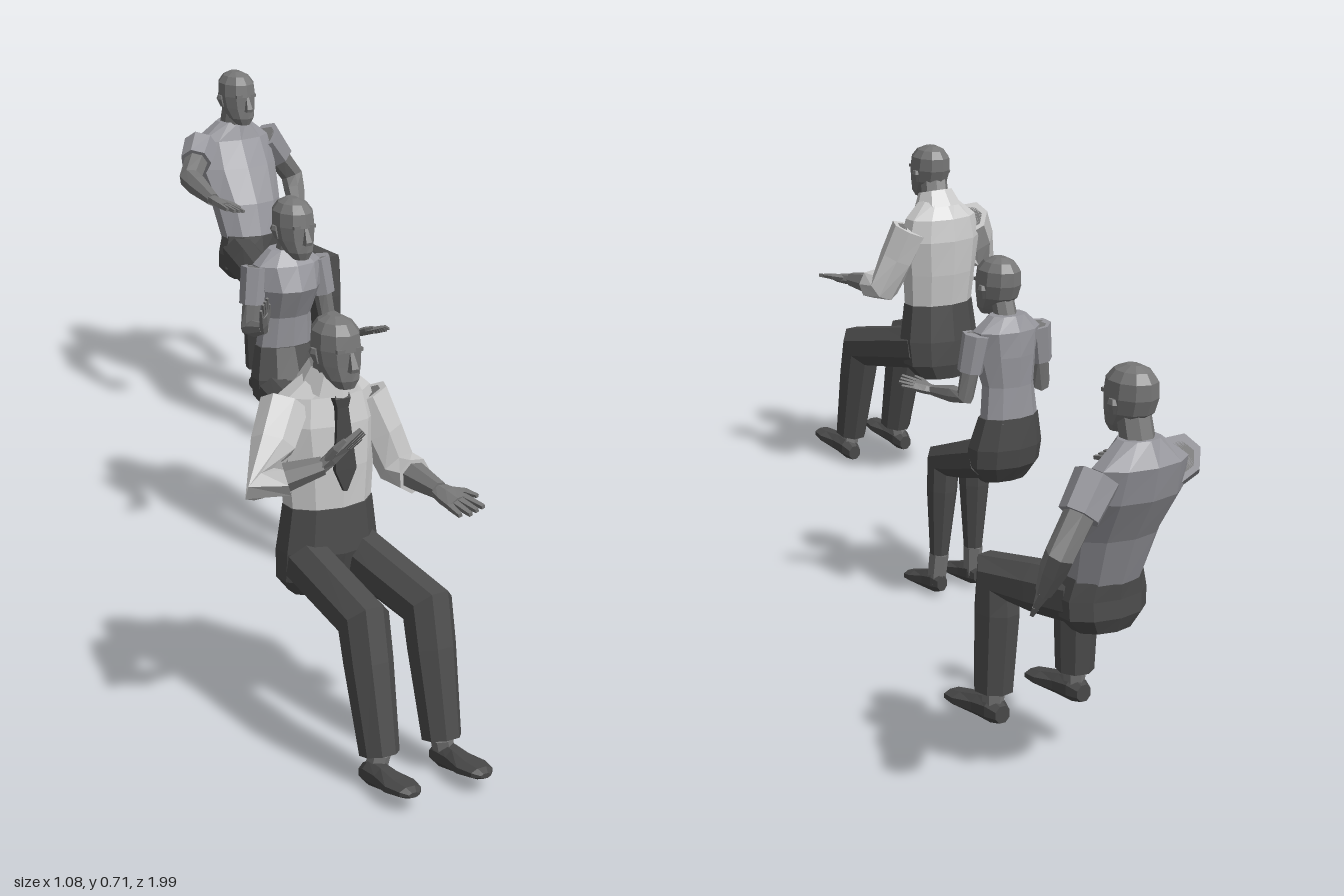
import * as THREE from 'three';

const V = (a) => new THREE.Vector3(...a);
const mat = (color) => new THREE.MeshStandardMaterial({ color, flatShading: true, side: THREE.DoubleSide });
const SKIN = mat(0x777777), TROUSERS = mat(0x4c4c4c), SHOE = mat(0x484848), TIE = mat(0x454545);

function add(group, name, geometry, material) {
  const mesh = new THREE.Mesh(geometry, material);
  mesh.name = name;
  group.add(mesh);
  return mesh;
}

// Closed skin over elliptical rings [x, y, z, halfWidth, halfDepth].
// Rings follow the path, or stay square to a fixed axis when one is given.
function loft(rings, sides = 8, axis = null, ref = [1, 0, 0]) {
  const c = rings.map((r) => V(r.slice(0, 3))), n = rings.length;
  const pos = [], index = [];
  let side = V(ref);
  rings.forEach((r, i) => {
    const a = c[Math.max(i - 1, 0)], b = c[Math.min(i + 1, n - 1)];
    let t = b.clone().sub(a).normalize();
    if (i > 0 && i < n - 1) {
      t = c[i].clone().sub(a).normalize().add(b.clone().sub(c[i]).normalize()).normalize();
    }
    if (axis) t = V(axis);
    side = side.clone().addScaledVector(t, -side.dot(t)).normalize();
    const up = t.clone().cross(side);
    for (let j = 0; j < sides; j++) {
      const ang = ((j + 0.5) / sides) * Math.PI * 2, k = 1 / Math.cos(Math.PI / sides);
      const p = c[i].clone().addScaledVector(side, Math.cos(ang) * r[3] * k)
        .addScaledVector(up, Math.sin(ang) * r[4] * k);
      pos.push(p.x, p.y, p.z);
    }
  });
  for (let i = 0; i < n - 1; i++) {
    for (let j = 0; j < sides; j++) {
      const a = i * sides + j, b = i * sides + ((j + 1) % sides);
      index.push(a, b, b + sides, a, b + sides, a + sides);
    }
  }
  const last = (n - 1) * sides;
  for (let j = 1; j < sides - 1; j++) index.push(0, j + 1, j, last, last + j, last + j + 1);
  const g = new THREE.BufferGeometry();
  g.setAttribute('position', new THREE.Float32BufferAttribute(pos, 3));
  g.setIndex(index);
  g.computeVertexNormals();
  return g;
}

const UP = [0, 1, 0];
const mix = (a, b, t) => a.map((v, i) => v + (b[i] - v) * t);

// Head with nose and ears; chin at y = 0
function makeHead(at) {
  const head = new THREE.Group();
  head.name = 'head';
  add(head, 'skull', loft([
    [0, 0, 0.028, 0.014, 0.014], [0, 0.014, 0.02, 0.025, 0.027], [0, 0.036, 0.004, 0.033, 0.042],
    [0, 0.06, -0.001, 0.036, 0.046], [0, 0.085, -0.003, 0.034, 0.044],
    [0, 0.1, -0.004, 0.024, 0.032], [0, 0.108, -0.006, 0.009, 0.014],
  ], 10, UP), SKIN);
  add(head, 'nose', loft([
    [0, 0.03, 0.048, 0.007, 0.008], [0, 0.036, 0.05, 0.006, 0.008], [0, 0.06, 0.043, 0.003, 0.004],
  ], 4, UP), SKIN);
  add(head, 'brow', new THREE.BoxGeometry(0.046, 0.006, 0.012), SKIN).position.set(0, 0.062, 0.037);
  for (const s of [-1, 1]) {
    add(head, 'ear', loft([
      [s * 0.034, 0.036, -0.002, 0.003, 0.005], [s * 0.039, 0.052, -0.005, 0.004, 0.009],
      [s * 0.038, 0.06, -0.004, 0.003, 0.006],
    ], 5, UP), SKIN);
  }
  head.position.set(...at);
  return head;
}

// Palm, four fingers and thumb; across points from the little finger to the thumb
function makeHand(wrist, tip, across, size) {
  const hand = new THREE.Group();
  hand.name = 'hand';
  const w = V(wrist), dir = V(tip).sub(w), len = dir.length();
  dir.normalize();
  const side = V(across).addScaledVector(dir, -V(across).dot(dir)).normalize();
  const at = (f, s) => w.clone().addScaledVector(dir, len * f).addScaledVector(side, s * size).toArray();
  add(hand, 'palm', loft([
    [...at(-0.1, 0), 0.011 * size, 0.009 * size], [...at(0.2, 0), 0.016 * size, 0.009 * size],
    [...at(0.55, 0), 0.018 * size, 0.007 * size],
  ], 6, null, side.toArray()), SKIN);
  for (let i = 0; i < 4; i++) {
    const s = (i - 1.5) * 0.009;
    add(hand, 'finger', loft([
      [...at(0.5, s), 0.0045 * size, 0.005 * size],
      [...at(i === 0 ? 0.88 : 1, s * 1.3), 0.003 * size, 0.003 * size],
    ], 4, null, side.toArray()), SKIN);
  }
  add(hand, 'thumb', loft([
    [...at(0.15, 0.01), 0.006 * size, 0.006 * size], [...at(0.4, 0.024), 0.005 * size, 0.005 * size],
    [...at(0.65, 0.029), 0.003 * size, 0.003 * size],
  ], 5, null, dir.toArray()), SKIN);
  return hand;
}

// Bare arm, sleeve reaching sleeveEnd (1 = elbow, 2 = wrist), and hand
function makeArm({ shoulder, elbow, wrist, tip, across }, r, sleeveEnd, shirt) {
  const arm = new THREE.Group();
  arm.name = 'arm';
  const ref = [0.3, 0.2, 1];
  add(arm, 'bareArm', loft([
    [...shoulder, r * 0.8, r * 0.8], [...mix(shoulder, elbow, 0.5), r * 0.75, r * 0.75],
    [...elbow, r * 0.7, r * 0.75], [...mix(elbow, wrist, 0.35), r * 0.68, r * 0.68],
    [...wrist, r * 0.42, r * 0.42],
  ], 7, null, ref), SKIN);
  const sleeve = [[...shoulder, r * 1.1, r * 1.15]];
  if (sleeveEnd > 1) {
    sleeve.push([...mix(shoulder, elbow, 0.5), r * 1.02, r * 1.02], [...elbow, r * 0.9, r]);
    sleeve.push([...mix(elbow, wrist, sleeveEnd - 1), r * 0.85, r * 0.85]);
  } else {
    sleeve.push([...mix(shoulder, elbow, sleeveEnd), r, r]);
  }
  add(arm, 'sleeve', loft(sleeve, 7, null, ref), shirt);
  arm.add(makeHand(wrist, tip, across, r / 0.03));
  return arm;
}

// Trouser leg bent at the knee, ankle and shoe
function makeLeg({ hip, knee, hem, foot }, r) {
  const leg = new THREE.Group();
  leg.name = 'leg';
  add(leg, 'trouserLeg', loft([
    [...hip, r[0], r[0] * 1.15], [...mix(hip, knee, 0.5), r[0], r[0] * 1.1],
    [...knee, r[1], r[1] * 1.25], [...mix(knee, hem, 0.3), r[1] * 0.97, r[1]],
    [...hem, r[2], r[2] * 1.05],
  ], 8), TROUSERS);
  const [x, heelY, heelZ, toeY, toeZ, w] = foot;
  const y = (f) => heelY + (toeY - heelY) * f, z = (f) => heelZ + (toeZ - heelZ) * f;
  add(leg, 'ankle', loft([
    [x, y(0.2) + 0.015, z(0.18), 0.014, 0.016], [...hem, 0.015, 0.017],
  ], 6), SKIN);
  add(leg, 'shoe', loft([
    [x, y(0) + 0.02, z(0), w * 0.5, 0.014], [x, y(0.15) + 0.022, z(0.15), w * 0.75, 0.021],
    [x, y(0.4) + 0.018, z(0.4), w * 0.75, 0.018], [x, y(0.7) + 0.013, z(0.7), w, 0.012],
    [x, y(0.92) + 0.009, z(0.92), w * 0.75, 0.009], [x, y(1) + 0.006, z(1), w * 0.35, 0.004],
  ], 8, [0, 0, 1]), SHOE);
  return leg;
}

function makePerson(name, p) {
  const person = new THREE.Group();
  person.name = name;
  const rings = (list) => list.map(([y, z, w, d]) => [p.x, y, z, w, d]);
  add(person, 'shirt', loft(rings(p.torso), 10, UP), p.shirt);
  add(person, 'hips', loft(rings(p.hips), 10, UP), TROUSERS);
  add(person, 'neck', loft([[p.x, ...p.neck[0]], [p.head[0], ...p.neck[1]]], 8, UP), SKIN);
  person.add(makeHead(p.head));
  for (const a of p.arms) person.add(makeArm(a, p.armRadius, p.sleeve, p.shirt));
  for (const l of p.legs) person.add(makeLeg(l, p.legRadii));
  return person;
}

export function createModel() {
  const model = new THREE.Group();
  model.name = 'seatedPeople';
  const white = mat(0xcccccc), grey = mat(0x96969c);

  const manInTie = makePerson('manInTie', {
    x: -0.362, shirt: white, armRadius: 0.032, sleeve: 1.4, legRadii: [0.037, 0.037, 0.029],
    torso: [[0.385, 0.642, 0.071, 0.047], [0.46, 0.638, 0.077, 0.053], [0.53, 0.634, 0.085, 0.053],
      [0.575, 0.632, 0.075, 0.045], [0.607, 0.642, 0.038, 0.032]],
    hips: [[0.24, 0.625, 0.055, 0.035], [0.27, 0.633, 0.08, 0.05], [0.32, 0.64, 0.083, 0.056], [0.395, 0.642, 0.073, 0.05]],
    neck: [[0.59, 0.645, 0.026, 0.026], [0.645, 0.675, 0.025, 0.026]], head: [-0.374, 0.603, 0.688],
    arms: [
      { shoulder: [-0.435, 0.56, 0.635], elbow: [-0.512, 0.462, 0.695], wrist: [-0.425, 0.49, 0.735], tip: [-0.365, 0.54, 0.755], across: [0.2, 0.8, 0.6] },
      { shoulder: [-0.29, 0.555, 0.635], elbow: [-0.245, 0.435, 0.665], wrist: [-0.24, 0.428, 0.78], tip: [-0.232, 0.418, 0.865], across: [1, 0.3, 0] },
    ],
    legs: [-1, 1].map((s) => ({
      hip: [-0.36 + s * 0.045, 0.305, 0.63], knee: [-0.354 + s * 0.058, 0.265, 0.835],
      hem: [-0.354 + s * 0.057, 0.062, 0.882], foot: [-0.354 + s * 0.065, 0.004, 0.855, 0.034, 0.995, 0.026],
    })),
  });
  // Open shirt collar and necktie
  const collar = add(manInTie, 'collar', new THREE.CylinderGeometry(0.035, 0.05, 0.035, 8, 1, true), white);
  collar.position.set(-0.364, 0.606, 0.65);
  collar.rotation.x = 0.25;
  add(manInTie, 'tie', loft([
    [-0.362, 0.425, 0.695, 0.003, 0.004], [-0.361, 0.46, 0.693, 0.019, 0.005],
    [-0.363, 0.56, 0.685, 0.01, 0.006], [-0.363, 0.575, 0.683, 0.014, 0.008], [-0.363, 0.592, 0.678, 0.011, 0.007],
  ], 4, UP), TIE);

  const woman = makePerson('woman', {
    x: 0, shirt: grey, armRadius: 0.021, sleeve: 0.6, legRadii: [0.03, 0.027, 0.016],
    torso: [[0.385, -0.122, 0.055, 0.034], [0.45, -0.118, 0.048, 0.035], [0.505, -0.106, 0.058, 0.049],
      [0.55, -0.113, 0.064, 0.04], [0.577, -0.116, 0.034, 0.025]],
    hips: [[0.27, -0.105, 0.045, 0.025], [0.3, -0.105, 0.068, 0.045], [0.335, -0.11, 0.07, 0.046], [0.393, -0.12, 0.057, 0.036]],
    neck: [[0.56, -0.115, 0.02, 0.02], [0.61, -0.098, 0.019, 0.019]], head: [0, 0.568, -0.087],
    arms: [
      { shoulder: [-0.065, 0.548, -0.115], elbow: [-0.083, 0.435, -0.105], wrist: [-0.1, 0.46, -0.02], tip: [-0.12, 0.52, 0.015], across: [0.8, 0, -0.6] },
      { shoulder: [0.065, 0.548, -0.115], elbow: [0.083, 0.435, -0.105], wrist: [0.088, 0.425, -0.01], tip: [0.13, 0.44, 0.035], across: [-0.6, 0.5, 0.6] },
    ],
    legs: [-1, 1].map((s) => ({
      hip: [s * 0.039, 0.312, -0.1], knee: [s * 0.035, 0.272, 0.036],
      hem: [s * 0.038, 0.09, 0.046], foot: [s * 0.041, 0.014, 0.032, 0.014, 0.147, 0.021],
    })),
  });

  const man = makePerson('reachingMan', {
    x: 0.347, shirt: grey, armRadius: 0.03, sleeve: 0.5, legRadii: [0.036, 0.035, 0.029],
    torso: [[0.365, -0.86, 0.062, 0.044], [0.45, -0.888, 0.074, 0.048], [0.52, -0.927, 0.085, 0.05],
      [0.575, -0.948, 0.08, 0.042], [0.612, -0.943, 0.034, 0.028]],
    hips: [[0.29, -0.86, 0.05, 0.035], [0.315, -0.86, 0.073, 0.045], [0.345, -0.858, 0.074, 0.046], [0.385, -0.862, 0.063, 0.045]],
    neck: [[0.595, -0.943, 0.026, 0.026], [0.65, -0.928, 0.025, 0.025]], head: [0.347, 0.612, -0.922],
    arms: [
      { shoulder: [0.27, 0.565, -0.94], elbow: [0.203, 0.517, -0.865], wrist: [0.192, 0.5, -0.745], tip: [0.203, 0.492, -0.665], across: [1, -0.2, 0] },
      { shoulder: [0.428, 0.565, -0.95], elbow: [0.508, 0.465, -0.968], wrist: [0.487, 0.385, -0.9], tip: [0.455, 0.335, -0.835], across: [-0.6, 0.5, 0.3] },
    ],
    legs: [[0.31, 0.27, 0.266, 0.264], [0.385, 0.422, 0.426, 0.424]].map(([hipX, kneeX, hemX, footX]) => ({
      hip: [hipX, 0.342, -0.85], knee: [kneeX, 0.336, -0.69],
      hem: [hemX, 0.145, -0.682], foot: [footX, 0.088, -0.705, 0.092, -0.558, 0.027],
    })),
  });

  model.add(manInTie, woman, man);
  return model;
}
